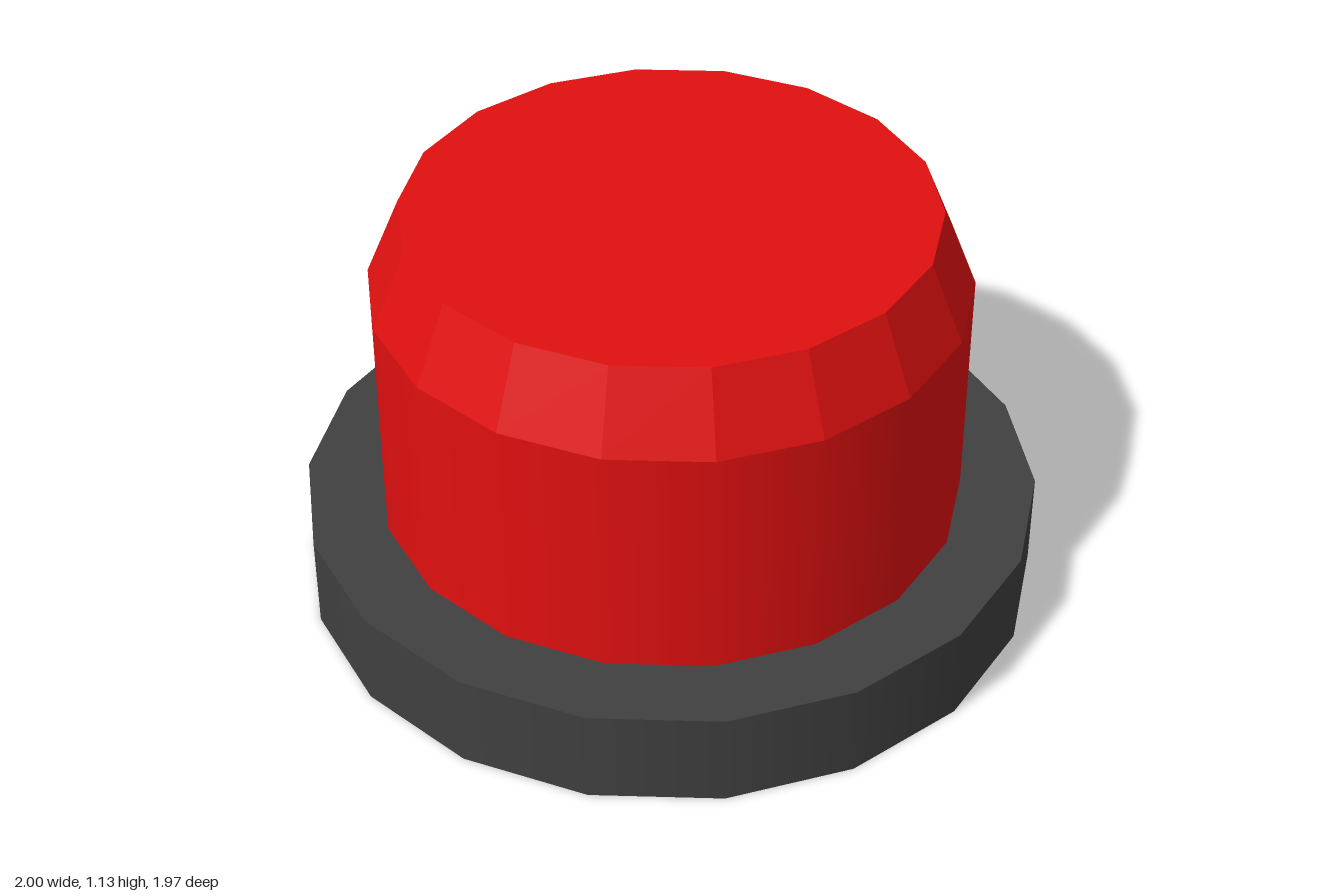
import * as THREE from 'three';

const SIDES = 18;
const START = Math.PI / 2; // puts a corner on the x axis

export function createModel() {
  const model = new THREE.Group();
  model.name = 'pushButton';

  const dark = new THREE.MeshStandardMaterial({ color: 0x404040 });
  const red = new THREE.MeshStandardMaterial({ color: 0xe01010 });
  const redFaceted = new THREE.MeshStandardMaterial({ color: 0xe01010, flatShading: true });

  const add = (name, geometry, material, y = 0) => {
    const mesh = new THREE.Mesh(geometry, material);
    mesh.name = name;
    mesh.position.y = y;
    model.add(mesh);
  };

  const baseHeight = 0.265, shoulder = 0.92, top = 1.135;
  const wallRadius = 0.795, topRadius = 0.705;

  // Wide base disc
  add('base', new THREE.CylinderGeometry(1, 1, baseHeight, SIDES, 1, false, START), dark, baseHeight / 2);

  // Smooth upright wall of the button
  add('buttonWall', new THREE.CylinderGeometry(wallRadius, wallRadius, shoulder - baseHeight, SIDES, 1, true, START),
    red, (baseHeight + shoulder) / 2);

  // Faceted bevel
  add('buttonBevel', new THREE.CylinderGeometry(topRadius, wallRadius, top - shoulder, SIDES, 1, true, START),
    redFaceted, (shoulder + top) / 2);

  // Flat pressing face
  add('buttonTop', new THREE.CircleGeometry(topRadius, SIDES).rotateX(-Math.PI / 2), red, top);

  return model;
}
